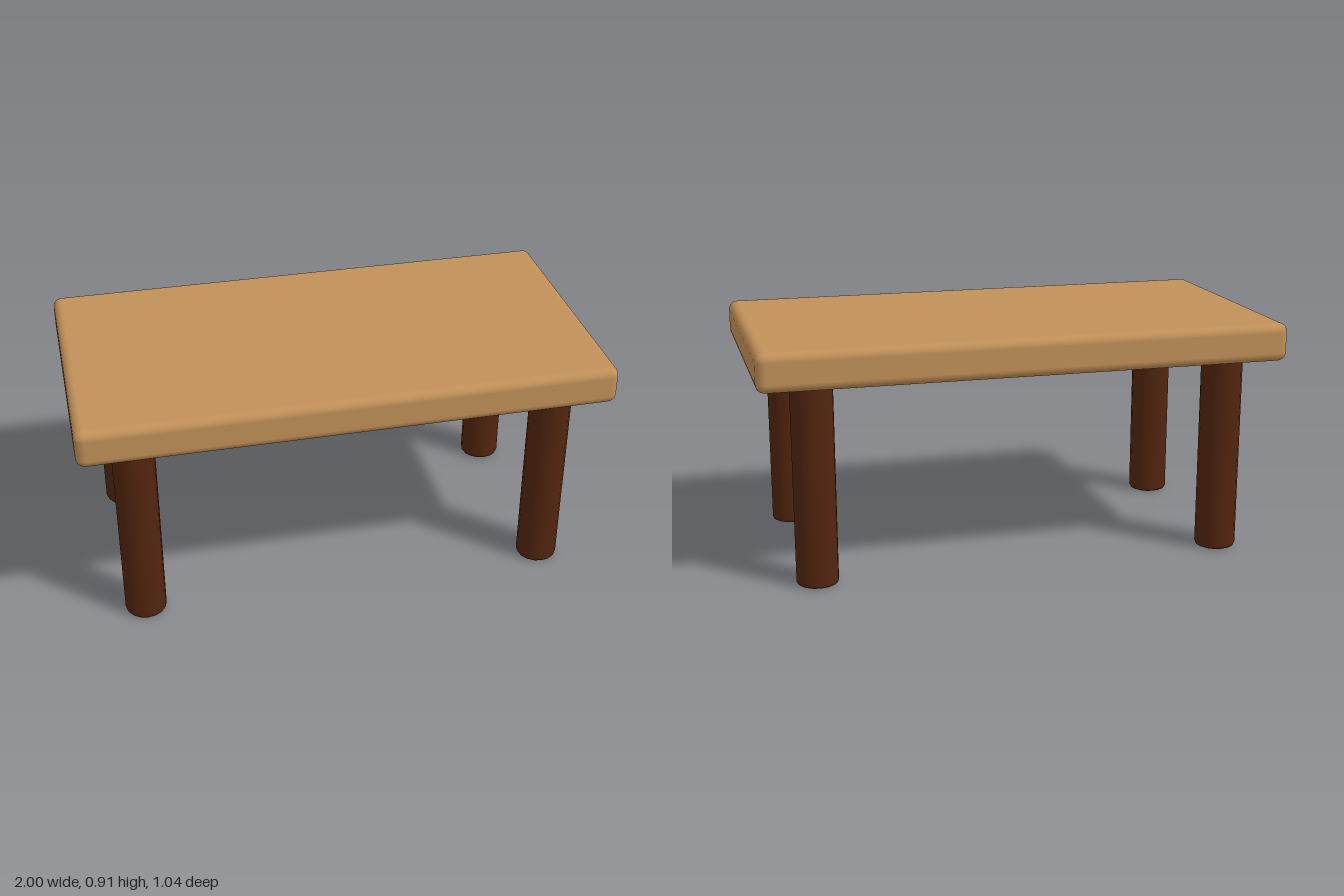
import * as THREE from 'three';
import { RoundedBoxGeometry } from 'three/addons/geometries/RoundedBoxGeometry.js';

const TOP_Y = 0.908, UNDER_Y = 0.762, LEG_RADIUS = 0.079, BEVEL = 0.012;

// Round leg with a small softened edge at the foot
function legGeometry() {
  const r = LEG_RADIUS;
  const profile = [
    [0, 0], [r - BEVEL - 0.002, 0], [r - BEVEL, 0],
    [r - BEVEL * 0.3, BEVEL * 0.3], [r, BEVEL], [r, BEVEL + 0.002],
    [r, UNDER_Y + 0.02],
  ].map(([x, y]) => new THREE.Vector2(x, y));
  return new THREE.LatheGeometry(profile, 16);
}

export function createModel() {
  const table = new THREE.Group();
  table.name = 'table';

  const lightWood = new THREE.MeshStandardMaterial({ color: 0xc19058 });
  lightWood.name = 'light wood';
  const darkWood = new THREE.MeshStandardMaterial({ color: 0x52250f });
  darkWood.name = 'dark wood';

  // Thick slab with rounded edges
  const slab = new THREE.Mesh(
    new RoundedBoxGeometry(2, TOP_Y - UNDER_Y, 1.04, 3, 0.034), lightWood);
  slab.name = 'tableTop';
  slab.position.y = (TOP_Y + UNDER_Y) / 2;
  table.add(slab);

  // Four legs, one near each corner
  const geometry = legGeometry();
  for (const [sz, end] of [[1, 'front'], [-1, 'back']]) {
    for (const [sx, side] of [[1, 'Left'], [-1, 'Right']]) {
      const leg = new THREE.Mesh(geometry, darkWood);
      leg.name = `${end}${side}Leg`;
      leg.position.set(sx * 0.792, 0, sz * 0.376);
      table.add(leg);
    }
  }
  return table;
}
